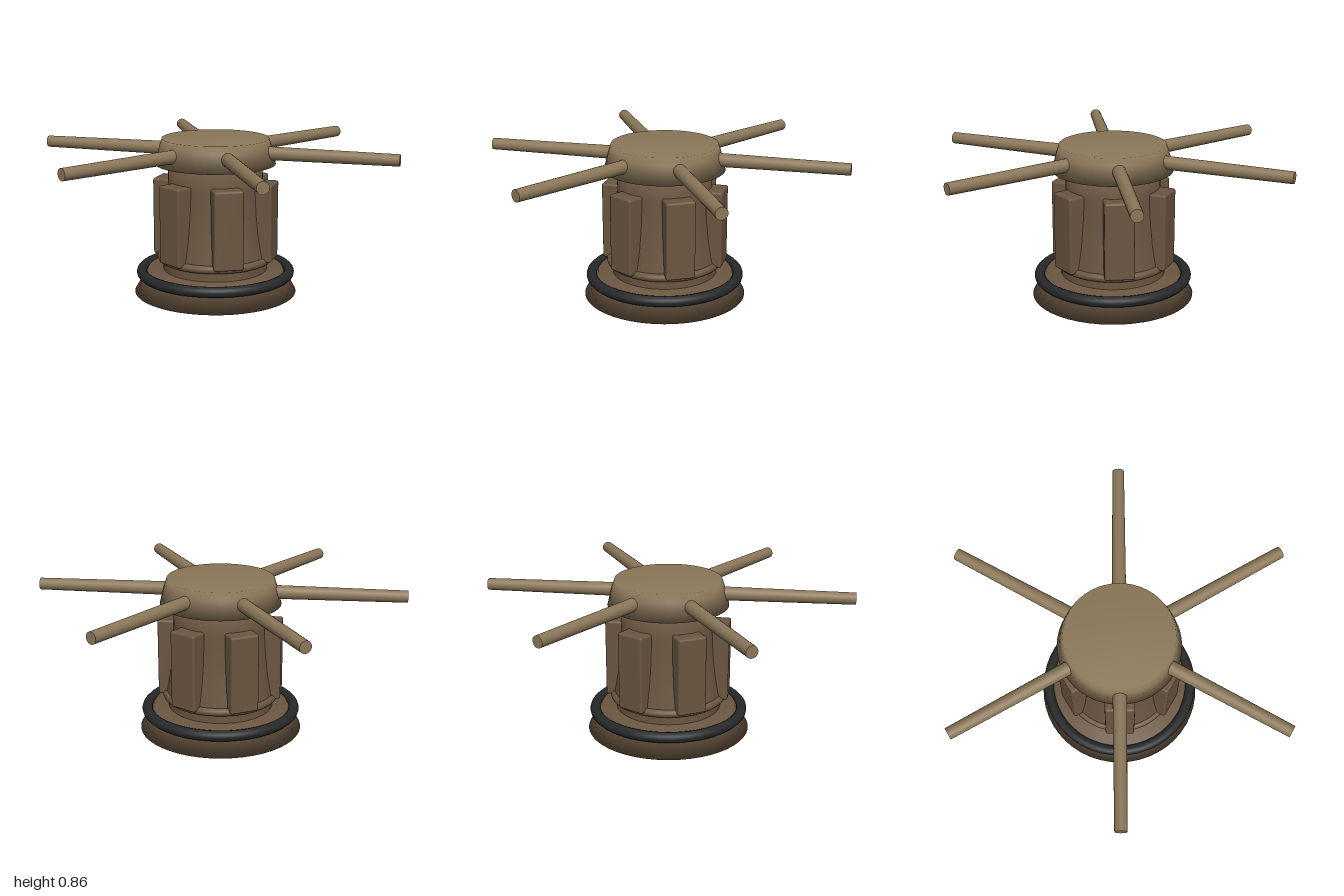
import * as THREE from 'three';
import { RoundedBoxGeometry } from 'three/addons/geometries/RoundedBoxGeometry.js';

export function createModel() {
  const group = new THREE.Group();
  group.name = 'capstan';
  const mat = (name, color) => {
    const m = new THREE.MeshStandardMaterial({ color });
    m.name = name;
    return m;
  };
  const wood = mat('dark wood', 0x6b5641);
  const paleWood = mat('pale wood', 0x8b7759);
  const iron = mat('black iron', 0x26282a);

  const add = (name, geometry, material, parent = group) => {
    const mesh = new THREE.Mesh(geometry, material);
    mesh.name = name;
    parent.add(mesh);
    return mesh;
  };
  const lathe = (points) =>
    new THREE.LatheGeometry(points.map(([r, y]) => new THREE.Vector2(r, y)), 48);
  const ring = (name, radius, tube, y, material) => {
    const mesh = add(name, new THREE.TorusGeometry(radius, tube, 12, 48), material);
    mesh.rotation.x = Math.PI / 2;
    mesh.position.y = y;
  };

  // Sloped foot with an iron hoop
  add('base', lathe([[0, 0], [0.45, 0], [0.375, 0.13], [0, 0.13]]), wood);
  ring('ironHoop', 0.41, 0.029, 0.112, iron);

  // Neck, flange and waisted drum
  add('neck', new THREE.CylinderGeometry(0.29, 0.29, 0.1, 48), wood).position.y = 0.16;
  ring('flange', 0.3, 0.022, 0.2, wood);
  add('drum', lathe([
    [0, 0.18], [0.305, 0.18], [0.3, 0.22], [0.28, 0.34], [0.268, 0.46],
    [0.26, 0.6], [0.258, 0.74], [0, 0.74],
  ]), wood);

  // Head that holds the bars
  add('head', lathe([[0, 0.72], [0.33, 0.72], [0.305, 0.82], [0.292, 0.86], [0, 0.86]]), paleWood);

  // Six upright ribs and six radiating bars
  for (let i = 0; i < 6; i++) {
    const arm = new THREE.Group();
    arm.name = `spoke${i + 1}`;
    arm.rotation.y = (i * Math.PI) / 3;
    group.add(arm);

    add('rib', new RoundedBoxGeometry(0.1, 0.43, 0.16, 2, 0.012), wood, arm)
      .position.set(0.288, 0.415, 0);

    const bar = add('bar', new THREE.CylinderGeometry(0.037, 0.032, 0.72, 20), paleWood, arm);
    bar.rotation.z = Math.PI / 2;
    bar.position.set(0.64, 0.79, 0);
  }
  return group;
}
